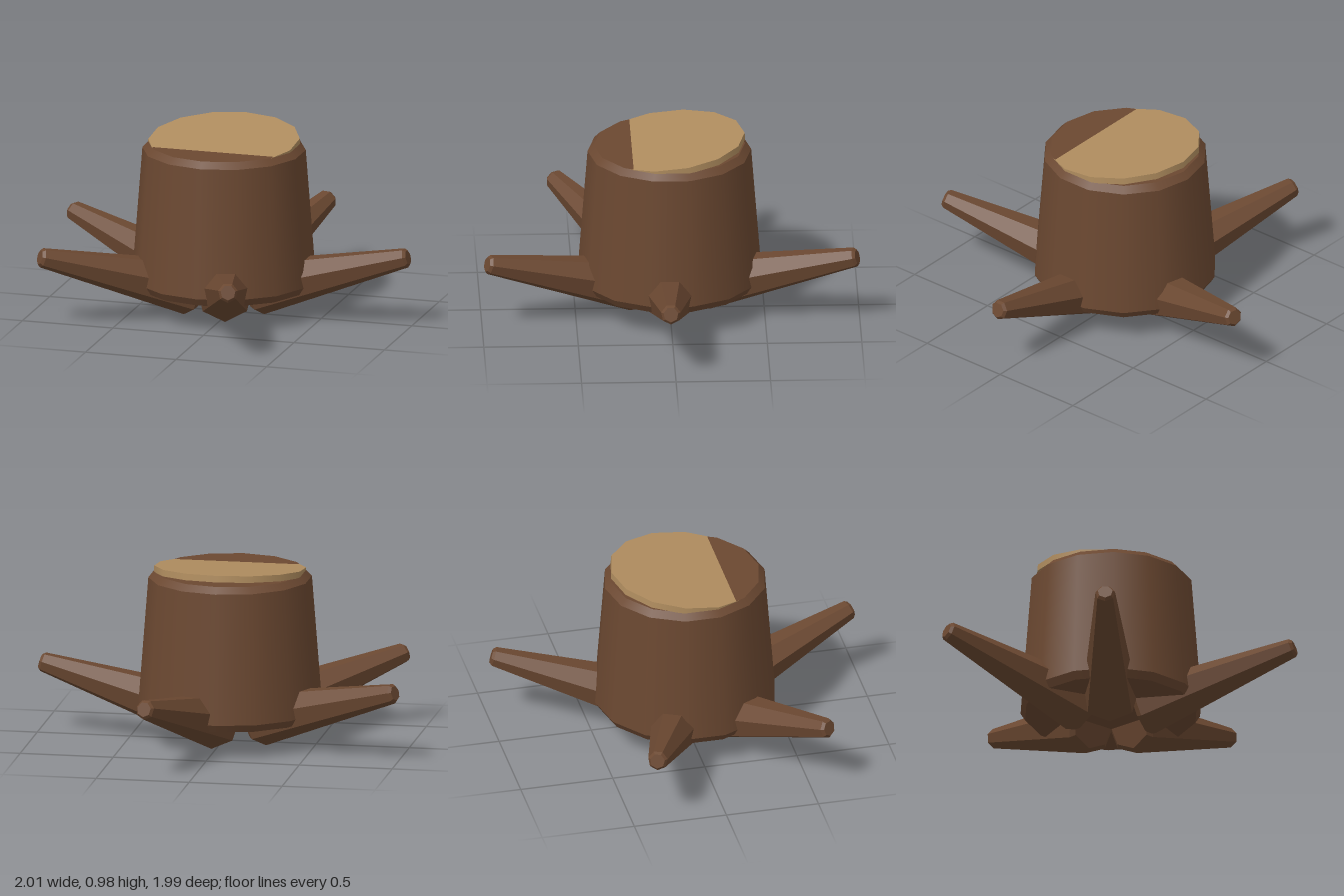
import * as THREE from 'three';
import { mergeGeometries } from 'three/addons/utils/BufferGeometryUtils.js';

// Closed solid of stacked bands; profile is [radius, y] from bottom to top
function banded(profile, sides, flat) {
  const parts = [];
  for (let i = 0; i < profile.length - 1; i++) {
    const [r0, y0] = profile[i];
    const [r1, y1] = profile[i + 1];
    parts.push(new THREE.CylinderGeometry(r1, r0, y1 - y0, sides, 1, true).translate(0, (y0 + y1) / 2, 0));
  }
  const [rb, yb] = profile[0];
  const [rt, yt] = profile[profile.length - 1];
  // end caps, with corners matching the bands
  parts.push(new THREE.CircleGeometry(rt, sides, Math.PI * 1.5).rotateX(-Math.PI / 2).translate(0, yt, 0));
  parts.push(new THREE.CircleGeometry(rb, sides, Math.PI / 2).rotateX(Math.PI / 2).translate(0, yb, 0));
  let geo = mergeGeometries(parts);
  if (flat) {
    geo = geo.toNonIndexed();
    geo.computeVertexNormals();
  }
  return geo;
}

export function createModel() {
  const bark = new THREE.MeshStandardMaterial({ color: 0x6b4831 });
  bark.name = 'bark brown';
  const wood = new THREE.MeshStandardMaterial({ color: 0xb08d5f });
  wood.name = 'cut wood tan';

  const model = new THREE.Group();
  model.name = 'treeStump';
  const cx = -0.037;

  const add = (name, geo, mat, x, y, z) => {
    const mesh = new THREE.Mesh(geo, mat);
    mesh.name = name;
    mesh.position.set(x, y, z);
    model.add(mesh);
    return mesh;
  };

  // Tapered trunk with bevelled rims
  add('trunk', banded([[0.462, 0.15], [0.487, 0.19], [0.433, 0.89], [0.4, 0.924]], 14, false), bark, cx, 0, 0);

  // Tilted cut face, sunk into the trunk at the front
  const cut = add('cutFace', banded([[0.402, -0.0175], [0.402, 0.0175]], 14, false), wood, cx, 0.9265, 0);
  cut.rotation.x = 0.1;

  // Five roots rising outward from under the trunk
  const rootGeo = banded([[0.125, 0], [0.15, 0.025], [0.053, 0.885], [0.04, 0.9]], 7, true).rotateX(Math.PI / 2);
  const tilt = 0.274;
  [1.5, 72, 145, 201.3, 286].forEach((deg, i) => {
    const a = THREE.MathUtils.degToRad(deg);
    const root = add('root' + (i + 1), rootGeo, bark, cx + 0.159 * Math.cos(a), 0.138, 0.159 * Math.sin(a));
    root.rotation.set(-tilt, Math.PI / 2 - a, 0, 'YXZ');
  });

  return model;
}
